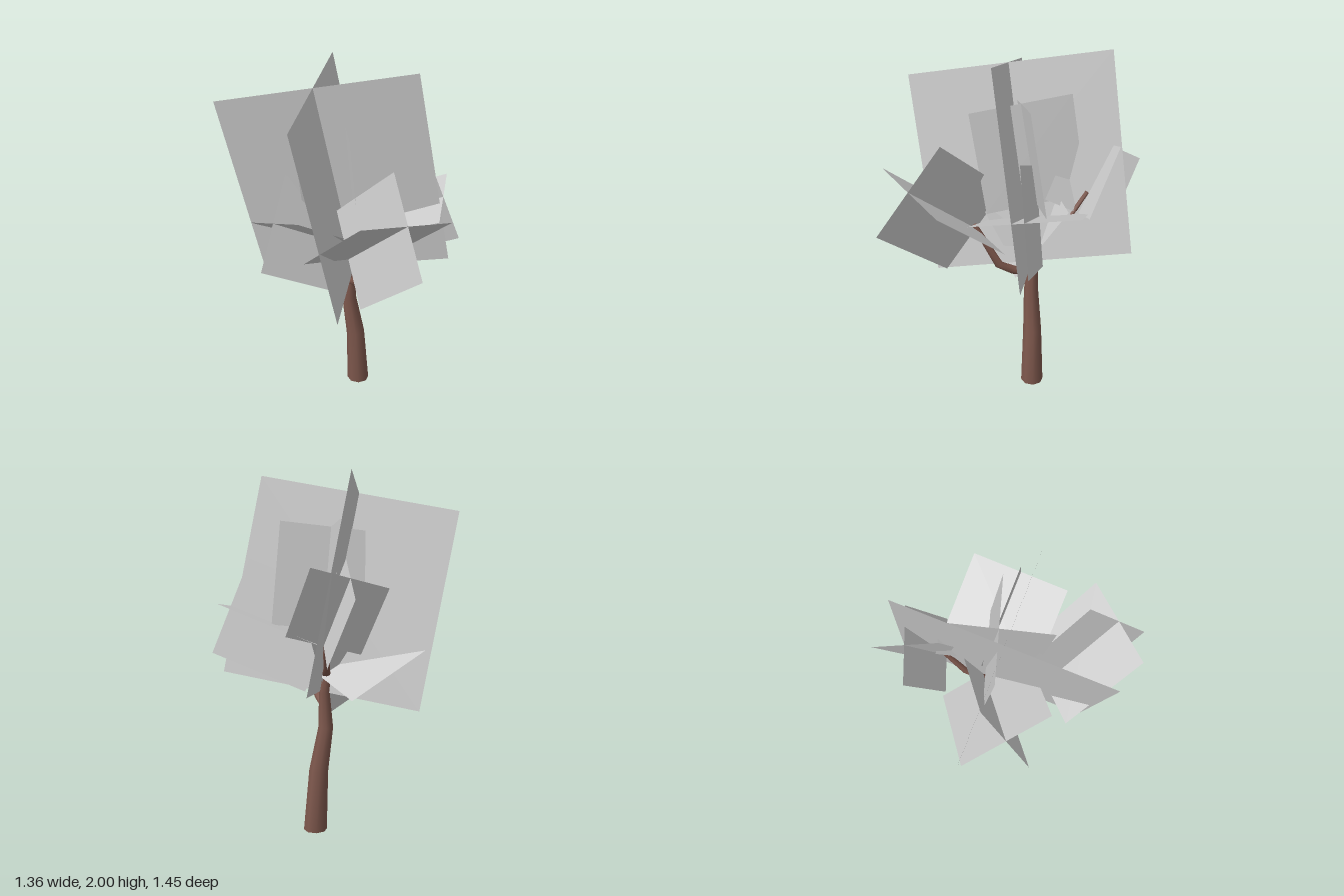
import * as THREE from 'three';
import { toCreasedNormals } from 'three/addons/utils/BufferGeometryUtils.js';

const V = (a) => new THREE.Vector3(...a);
const bark = new THREE.MeshStandardMaterial({ color: 0x7d574c });
const leaf = new THREE.MeshStandardMaterial({ color: 0xcccccc, side: THREE.DoubleSide });

// Tapered limb: rings [x, y, z, radius] joined by quads, closed at both ends
function limb(name, rings, sides = 8) {
  const pts = rings.map((r) => V(r));
  const last = pts.length - 1;
  const pos = [], index = [];
  const up = new THREE.Vector3(0, 1, 0);
  const addRing = (i, radius) => {
    const dir = pts[Math.min(i + 1, last)].clone().sub(pts[Math.max(i - 1, 0)]).normalize();
    if (i === 0) dir.copy(up).lerp(dir, rings[0][1] === 0 ? 0 : 1).normalize();
    const q = new THREE.Quaternion().setFromUnitVectors(up, dir);
    for (let s = 0; s < sides; s++) {
      const a = (s / sides) * Math.PI * 2;
      const p = new THREE.Vector3(Math.sin(a) * radius, 0, Math.cos(a) * radius);
      pos.push(...p.applyQuaternion(q).add(pts[i]).toArray());
    }
  };
  addRing(0, 0);
  rings.forEach((r, i) => addRing(i, r[3]));
  addRing(last, 0);
  for (let i = 0; i < rings.length + 1; i++) {
    for (let s = 0; s < sides; s++) {
      const a = i * sides + s, b = i * sides + ((s + 1) % sides);
      index.push(a, b, b + sides, a, b + sides, a + sides);
    }
  }
  const geo = new THREE.BufferGeometry();
  geo.setAttribute('position', new THREE.Float32BufferAttribute(pos, 3));
  geo.setIndex(index);
  const mesh = new THREE.Mesh(toCreasedNormals(geo, 1.0), bark);
  mesh.name = name;
  return mesh;
}

// Two square cards crossing at right angles along a shared axis
function foliage(name, size, centre, axis, across) {
  const group = new THREE.Group();
  group.name = name;
  const y = V(axis).normalize();
  const z = V(across).cross(y).normalize();
  const x = y.clone().cross(z);
  group.quaternion.setFromRotationMatrix(new THREE.Matrix4().makeBasis(x, y, z));
  group.position.set(...centre);
  for (let i = 0; i < 2; i++) {
    const card = new THREE.Mesh(new THREE.PlaneGeometry(size, size), leaf);
    card.name = 'leafCard';
    card.rotation.y = (i * Math.PI) / 2;
    group.add(card);
  }
  return group;
}

export function createModel() {
  const tree = new THREE.Group();
  tree.name = 'tree';

  // Trunk and branches
  tree.add(
    limb('trunk', [
      [0.113, 0, -0.115, 0.066], [0.093, 0.35, -0.115, 0.054], [0.052, 0.6, -0.11, 0.042],
      [0.06, 0.8, -0.115, 0.03], [0.05, 0.93, -0.125, 0.025], [0.01, 1.12, -0.1, 0.015],
    ]),
    limb('frontBranch', [
      [0.05, 0.71, -0.11, 0.026], [0.08, 0.755, 0, 0.025],
      [0.095, 0.8, 0.08, 0.024], [0.06, 1.04, 0.215, 0.015],
    ]),
    limb('backBranch', [
      [0.05, 0.89, -0.12, 0.024], [0.06, 0.965, -0.26, 0.018], [0.083, 1.225, -0.41, 0.012],
    ]),
  );

  // Foliage: size, centre, shared axis, width direction of the first card
  tree.add(
    foliage('crownFoliage', 1.12, [-0.032, 1.353, -0.055], [-0.23, 1.09, 0.118], [1.075, 0.2, 0.254]),
    foliage('frontFoliage', 0.565, [0.172, 1.18, 0.38], [0.27, 0.344, 0.344], [0.483, -0.091, -0.285]),
    foliage('leftFoliage', 0.565, [0.317, 1.18, -0.08], [0.508, 0.203, 0.14], [0.129, 0.076, -0.544]),
    foliage('rightFoliage', 0.565, [-0.147, 1.025, -0.06], [-0.462, 0.25, 0.2], [0.137, 0.48, -0.283]),
    foliage('backFoliage', 0.415, [0.027, 1.28, -0.451], [-0.112, 0.343, -0.164], [0.408, 0.109, -0.052]),
    foliage('topFoliage', 0.565, [0.042, 1.437, -0.09], [-0.055, 0.555, 0.085], [-0.05, 0.092, -0.56]),
  );
  return tree;
}
